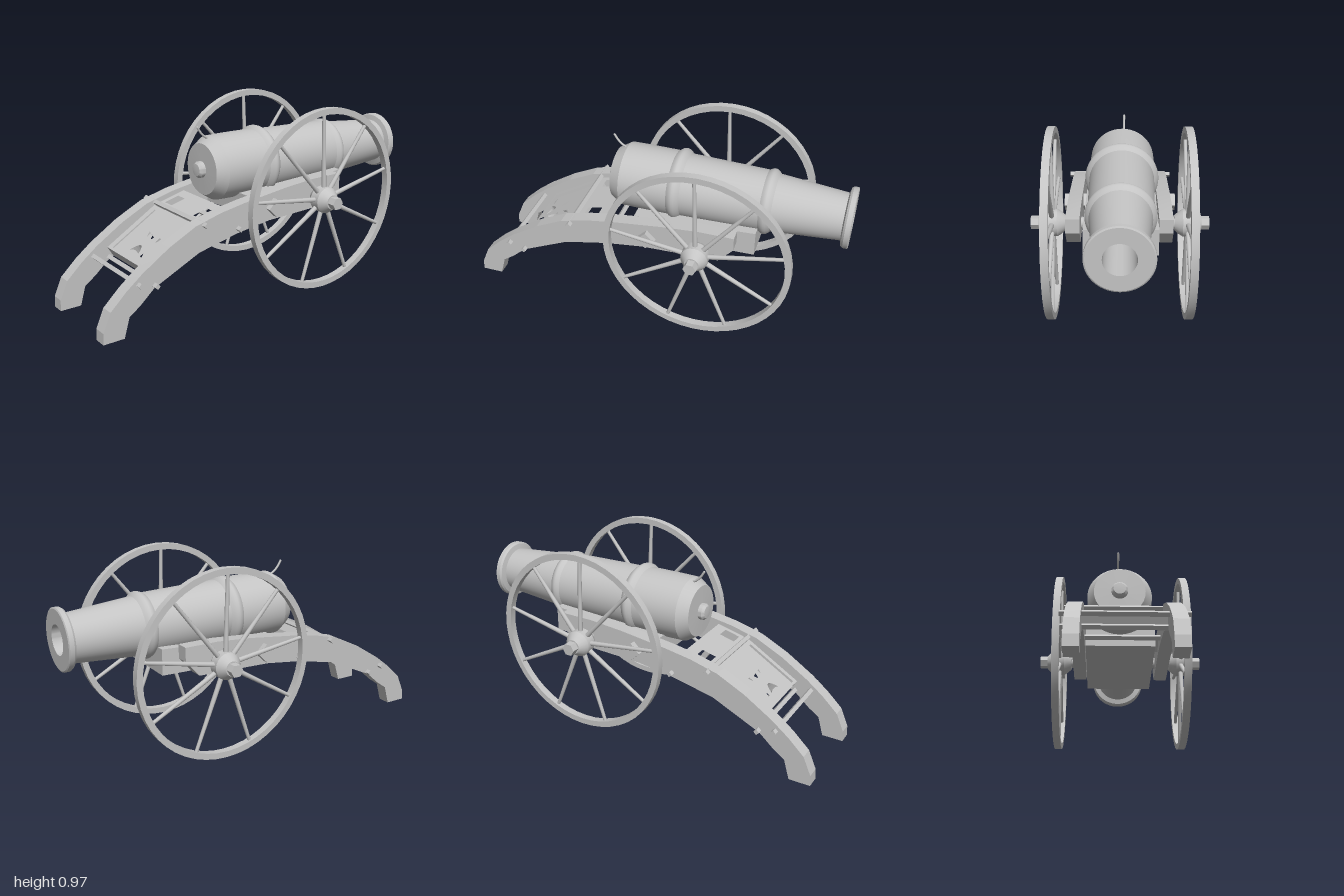
import * as THREE from 'three';
import { toCreasedNormals } from 'three/addons/utils/BufferGeometryUtils.js';

const CREASE = 0.5;
const v2 = (pts) => pts.map(([a, b]) => new THREE.Vector2(a, b));

export function createModel() {
  const root = new THREE.Group();
  const grey = new THREE.MeshStandardMaterial({ color: 0xc4c4c4 });
  grey.name = 'plain grey';

  const add = (name, geo, x = 0, y = 0, z = 0, parent = root) => {
    const m = new THREE.Mesh(geo, grey);
    m.name = name;
    m.position.set(x, y, z);
    parent.add(m);
    return m;
  };
  const lathe = (pts, seg) => toCreasedNormals(new THREE.LatheGeometry(v2(pts), seg), CREASE);

  // Barrel: one closed profile from the knob to the muzzle and back down the bore
  const ring = (z, half, rA, rB, bulge) => [
    [rA, z - half],
    ...[0.15, 0.35, 0.5, 0.65, 0.85].map((t) => [
      rA + (rB - rA) * t + bulge * Math.sin(Math.PI * t), z - half + 2 * half * t]),
    [rB, z + half],
  ];
  const barrelProfile = [
    [0, -0.292], [0.032, -0.288], [0.043, -0.275], [0.043, -0.255], [0.135, -0.252],
    [0.17, -0.195], [0.172, -0.1],
    ...ring(0.1, 0.034, 0.172, 0.167, 0.02),
    ...ring(0.575, 0.03, 0.16, 0.15, 0.016),
    [0.122, 0.955], [0.15, 0.962], [0.157, 0.972], [0.157, 0.995], [0.15, 0.999],
    [0.076, 0.999], [0.076, 0.3], [0, 0.3],
  ];
  const barrel = new THREE.Group();
  barrel.name = 'barrelAssembly';
  barrel.position.set(-0.018, 0.658, 0);
  barrel.rotation.set(-0.012, -0.008, 0);
  root.add(barrel);
  add('barrel', lathe(barrelProfile, 56).rotateX(-Math.PI / 2), 0, 0, 0, barrel);

  // Fuse curling out of the breech
  const fuseCurve = new THREE.CatmullRomCurve3([
    [0.19, 0.15], [0.225, 0.165], [0.252, 0.19], [0.272, 0.22],
  ].map(([z, y]) => new THREE.Vector3(-0.009, y, z)));
  add('fuse', new THREE.TubeGeometry(fuseCurve, 12, 0.006, 8), 0, 0, 0, barrel);
  add('fuseTip', new THREE.SphereGeometry(0.006, 8, 6), -0.009, 0.22, 0.272, barrel);

  // Wheels: rim, nine spokes, hub and end nut
  const R = 0.487, AXLE_Z = -0.28;
  const rimGeo = lathe([
    [R - 0.032, -0.019], [R, -0.019], [R, 0.019], [R - 0.032, 0.019], [R - 0.032, -0.019],
  ], 48).rotateZ(Math.PI / 2);
  const hubGeo = lathe([
    [0, -0.068], [0.038, -0.068], [0.058, -0.045], [0.07, -0.026], [0.07, 0.026],
    [0.058, 0.045], [0.038, 0.068], [0, 0.068],
  ], 20).rotateZ(Math.PI / 2);
  const nutGeo = new THREE.CylinderGeometry(0.034, 0.034, 0.05, 6)
    .toNonIndexed().rotateZ(Math.PI / 2);
  nutGeo.computeVertexNormals();
  const spokeGeo = new THREE.CylinderGeometry(0.009, 0.013, R - 0.07, 10)
    .translate(0, 0.055 + (R - 0.07) / 2, 0);
  for (const [name, x, s] of [['rightWheel', -0.35, -1], ['leftWheel', 0.334, 1]]) {
    const wheel = new THREE.Group();
    wheel.name = name;
    wheel.position.set(x, R, AXLE_Z);
    root.add(wheel);
    add('rim', rimGeo, 0, 0, 0, wheel);
    add('hub', hubGeo, 0, 0, 0, wheel);
    add('axleNut', nutGeo, s * 0.084, 0, 0, wheel);
    for (let i = 0; i < 9; i++) {
      add('spoke', spokeGeo, 0, 0, 0, wheel).rotation.x = (i / 9) * Math.PI * 2 + 0.035;
    }
  }
  add('axle', new THREE.CylinderGeometry(0.03, 0.03, 0.64, 16).rotateZ(Math.PI / 2), -0.008, R, AXLE_Z);

  // Curved side cheeks of the carriage, outlined in (z, y)
  const cheekShape = new THREE.Shape(v2([
    [1, 0.003], [0.997, 0.06], [0.955, 0.155], [0.87, 0.235], [0.78, 0.305], [0.63, 0.4],
    [0.48, 0.473], [0.33, 0.512], [0.19, 0.535], [-0.08, 0.568], [-0.27, 0.583],
    [-0.455, 0.583], [-0.455, 0.51], [-0.38, 0.425], [0.03, 0.412], [0.23, 0.385],
    [0.46, 0.335], [0.72, 0.215], [0.8, 0.145], [0.858, 0.105], [0.888, 0.003],
  ]));
  const cheekGeo = toCreasedNormals(
    new THREE.ExtrudeGeometry(cheekShape, { depth: 0.07, bevelEnabled: false }), 0.1,
  ).rotateY(-Math.PI / 2);
  add('rightCheek', cheekGeo, -0.199);
  add('leftCheek', cheekGeo, 0.258);

  // Bed under the barrel
  const bedShape = new THREE.Shape(v2([
    [0.1, 0.42], [0.1, 0.535], [-0.545, 0.57], [-0.545, 0.435],
  ]));
  const bedGeo = new THREE.ExtrudeGeometry(bedShape, { depth: 0.366, bevelEnabled: false })
    .rotateY(-Math.PI / 2);
  add('bed', bedGeo, 0.17);

  // Square cross bars, set on edge
  const bar = (name, y, z, side, length) => {
    add(name, new THREE.BoxGeometry(length, side, side), -0.006, y, z).rotation.x = Math.PI / 4;
  };
  bar('bedBeam', 0.48, 0, 0.068, 0.59);
  for (const [y, z] of [[0.472, 0.43], [0.41, 0.225], [0.253, 0.802], [0.23, 0.715]]) {
    bar('crossRod', y, z, 0.021, 0.582);
  }

  // Sloping deck boards between the cheeks; s runs down the slope
  const rect = (x0, s0, x1, s1, Kind) =>
    new Kind(v2([[x0, -s0], [x1, -s0], [x1, -s1], [x0, -s1]]));
  const board = (name, len, holes, depth, slope, y, z) => {
    const shape = rect(-0.2, 0, 0.19, len, THREE.Shape);
    shape.holes.push(...holes);
    const geo = new THREE.ExtrudeGeometry(shape, { depth, bevelEnabled: false, curveSegments: 10 });
    add(name, geo, 0, y, z).rotation.x = -Math.PI / 2 + slope;
  };
  const crescent = (s, dir) => {
    const p = new THREE.Path();
    p.moveTo(-0.04, -s);
    p.quadraticCurveTo(0, -s - dir * 0.02, 0.04, -s);
    p.quadraticCurveTo(0, -s - dir * 0.095, -0.04, -s);
    return p;
  };
  const crescents = () => [crescent(0.145, 1), crescent(0.283, -1)];
  const pockets = [[-0.163, -0.067], [0.067, 0.163]]
    .map(([a, b]) => rect(a, 0.025, b, 0.32, THREE.Path));
  const windows = [[-0.17, -0.105], [0.1, 0.165]]
    .map(([a, b]) => rect(a, 0.055, b, 0.14, THREE.Path));

  const slope = 0.54, t = 0.03;
  board('lowerDeckBase', 0.335, crescents(), t, slope, 0.405, 0.405);
  board('lowerDeckTop', 0.335, [...crescents(), ...pockets], t, slope,
    0.405 + t * Math.cos(slope), 0.405 + t * Math.sin(slope));
  board('upperDeck', 0.18, windows, 0.03, 0.25, 0.475, 0.245);

  return root;
}
